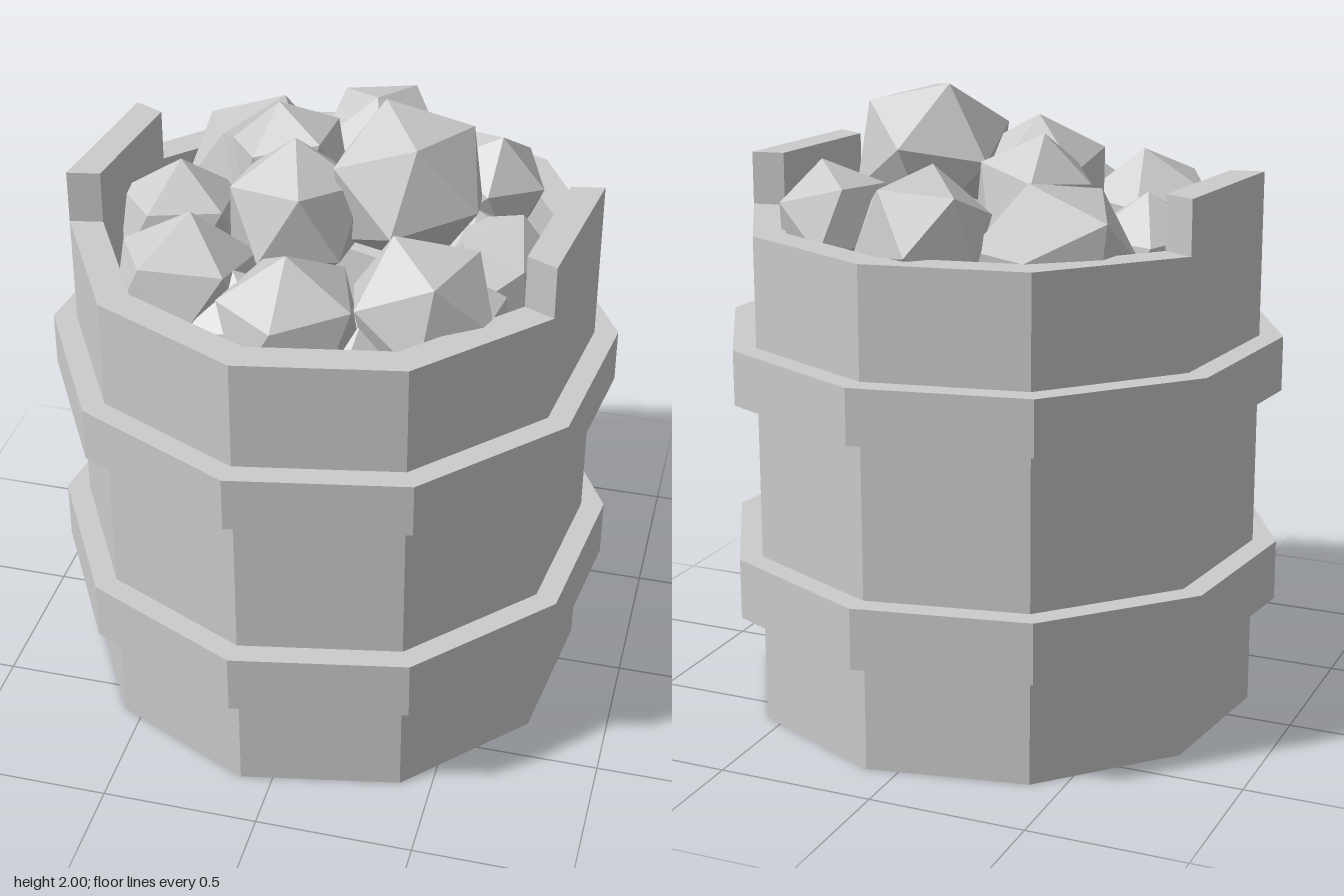
import * as THREE from 'three';

const SIDES = 10, STEP = Math.PI * 2 / SIDES, START = THREE.MathUtils.degToRad(-7);
const OUTER = 0.825, INNER = 0.72, RIM = 1.58;

export function createModel() {
  const model = new THREE.Group();
  const material = new THREE.MeshStandardMaterial({ color: 0xcccccc, flatShading: true });

  const add = (name, geometry, parent = model) => {
    const mesh = new THREE.Mesh(geometry, material);
    mesh.name = name;
    parent.add(mesh);
    return mesh;
  };
  // Ten-sided turned part from [radius, height] pairs
  const turned = (profile) => new THREE.LatheGeometry(
    profile.map(([r, y]) => new THREE.Vector2(r, y)), SIDES, START);

  // Open tub with a thick wall and floor
  add('barrelBody', turned([[0, 0], [OUTER, 0], [OUTER, RIM], [INNER, RIM], [INNER, 0.1], [0, 0.1]]));

  // Two hoops around the body
  for (const [name, y0, y1] of [['lowerHoop', 0.355, 0.55], ['upperHoop', 1.055, 1.23]]) {
    add(name, turned([[OUTER, y0], [0.9, y0], [0.9, y1], [OUTER, y1]]));
  }

  // Raised staves on opposite sides
  for (const [name, index] of [['leftRaisedStave', 2], ['rightRaisedStave', 7]]) {
    const a = START + index * STEP, b = a + STEP;
    const corner = (r, t) => new THREE.Vector2(r * Math.sin(t), -r * Math.cos(t));
    const shape = new THREE.Shape([corner(OUTER, a), corner(OUTER, b), corner(INNER, b), corner(INNER, a)]);
    const geometry = new THREE.ExtrudeGeometry(shape, { depth: 1.75 - RIM, bevelEnabled: false });
    geometry.rotateX(-Math.PI / 2).translate(0, RIM, 0);
    add(name, geometry);
  }

  // Heaped rocks: each is an icosahedron with one corner pointing along "peak"
  const rocks = new THREE.Group();
  rocks.name = 'rockPile';
  model.add(rocks);
  const up = new THREE.Vector3(0, 1, 0);
  const addRock = (name, [x, y, z], radius, [px, pz], spin) => {
    const geometry = new THREE.IcosahedronGeometry(radius, 0);
    geometry.rotateX(-Math.atan((1 + Math.sqrt(5)) / 2)).rotateY(spin);
    const rise = Math.sqrt(radius * radius - px * px - pz * pz);
    const peak = new THREE.Vector3(px, rise, pz).normalize();
    geometry.applyQuaternion(new THREE.Quaternion().setFromUnitVectors(up, peak));
    add(name, geometry, rocks).position.set(x, y, z);
  };

  // Centre, radius, sideways offset of the peak, spin
  const topRocks = [
    [[0.23, 1.76, -0.02], 0.265, [-0.09, -0.07], 0.5],
    [[0.03, 1.61, -0.53], 0.22, [0.0, 0.08], 0.2],
    [[-0.19, 1.69, -0.2], 0.2, [-0.04, -0.01], 0.9],
    [[-0.1, 1.67, 0.08], 0.235, [-0.01, -0.04], 0.3],
    [[-0.34, 1.54, -0.38], 0.26, [0.06, -0.08], 0.7],
    [[0.41, 1.59, -0.36], 0.2, [0.05, 0.02], 0.1],
    [[-0.52, 1.49, -0.07], 0.22, [0.0, -0.02], 1.0],
    [[0.52, 1.49, -0.02], 0.2, [0.06, -0.04], 0.4],
    [[-0.37, 1.53, 0.36], 0.24, [0.01, -0.04], 0.8],
    [[-0.01, 1.52, 0.48], 0.24, [-0.01, 0.01], 0.0],
    [[0.36, 1.55, 0.35], 0.245, [-0.1, -0.03], 0.6],
  ];
  topRocks.forEach(([centre, radius, peak, spin], i) => addRock(`topRock${i + 1}`, centre, radius, peak, spin));

  // Lower rocks seen through the gaps
  for (let i = 0; i < 9; i++) {
    const t = 0.35 + i * Math.PI * 2 / 9;
    addRock(`lowerRock${i + 1}`, [0.46 * Math.sin(t), 1.36 + 0.03 * (i % 3), 0.46 * Math.cos(t)],
      0.23, [0.05 * Math.cos(i * 2), 0.05 * Math.sin(i * 2)], i * 0.7);
  }
  addRock('middleRock', [0.1, 1.42, -0.15], 0.28, [0.04, -0.05], 0.3);
  addRock('innerRock', [0.0, 1.35, 0.15], 0.28, [-0.04, 0.05], 0.8);

  return model;
}
